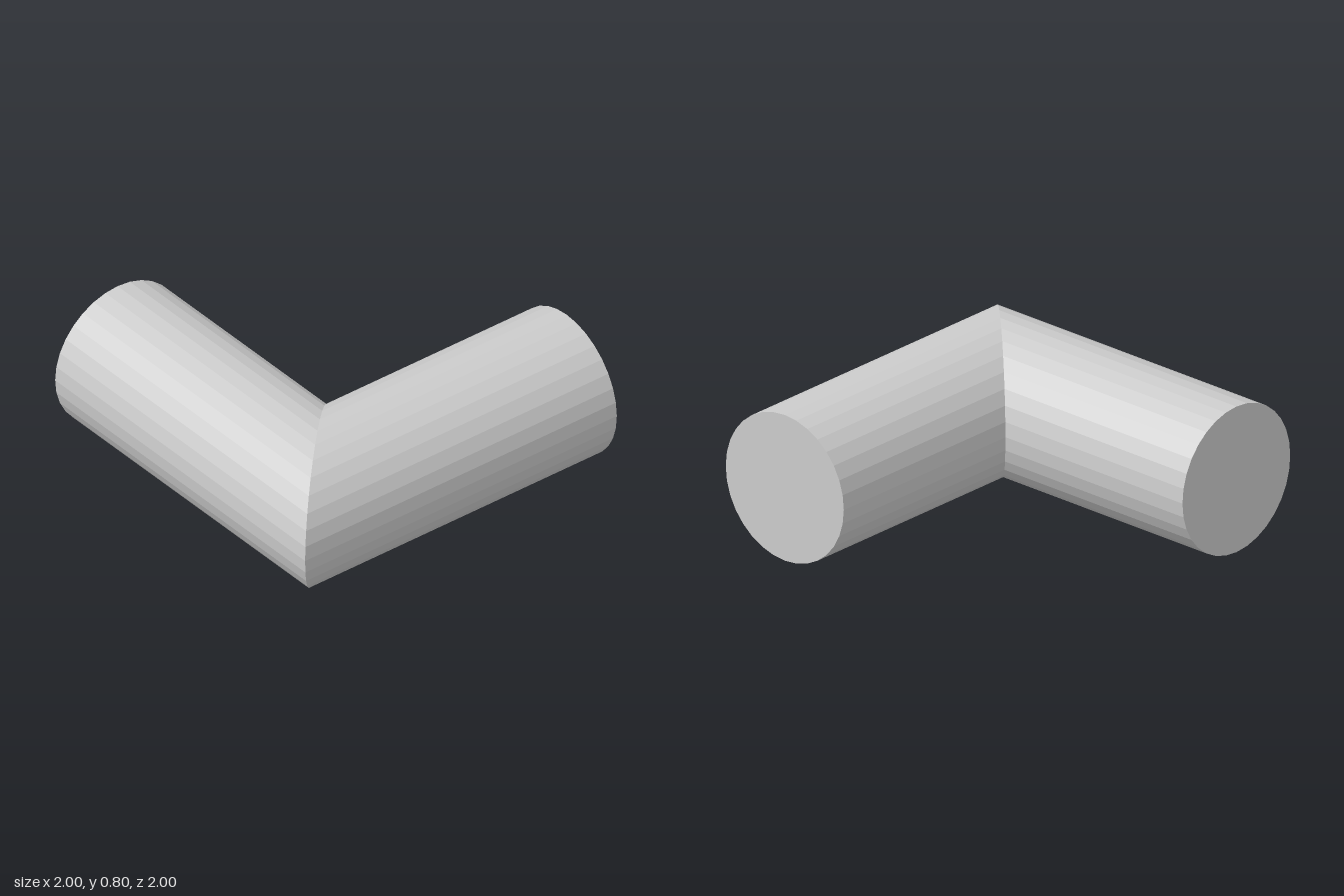
import * as THREE from 'three';

const RADIUS = 0.4;
const SIDES = 32;
const AXIS = 0.6; // distance of each arm's centre line from the middle

// Arm running along +x, its inner end cut on the mitre plane x = -z.
function mitredArm() {
  const geometry = new THREE.CylinderGeometry(RADIUS, RADIUS, 2, SIDES, 1, true);
  geometry.rotateZ(-Math.PI / 2).translate(0, 0, AXIS);
  const p = geometry.attributes.position;
  for (let i = 0; i < p.count; i++) {
    if (p.getX(i) < 0) p.setX(i, -p.getZ(i));
  }
  geometry.computeVertexNormals();
  return geometry;
}

// Flat disc closing the outer end of an arm.
function endCap() {
  return new THREE.CircleGeometry(RADIUS, SIDES)
    .rotateY(Math.PI / 2)
    .translate(1, 0, AXIS);
}

export function createModel() {
  const material = new THREE.MeshStandardMaterial({ color: 0xcccccc, flatShading: true });
  const model = new THREE.Group();
  model.name = 'mitredElbow';

  // Half turn about the mitre line sends the side arm onto the back arm.
  const halfTurn = new THREE.Vector3(1, 0, -1).normalize();
  for (const name of ['sideArm', 'backArm']) {
    const arm = new THREE.Group();
    arm.name = name;
    const tube = new THREE.Mesh(mitredArm(), material);
    tube.name = name + 'Tube';
    const cap = new THREE.Mesh(endCap(), material);
    cap.name = name + 'EndCap';
    arm.add(tube, cap);
    if (name === 'backArm') arm.quaternion.setFromAxisAngle(halfTurn, Math.PI);
    arm.position.y = RADIUS;
    model.add(arm);
  }
  return model;
}
